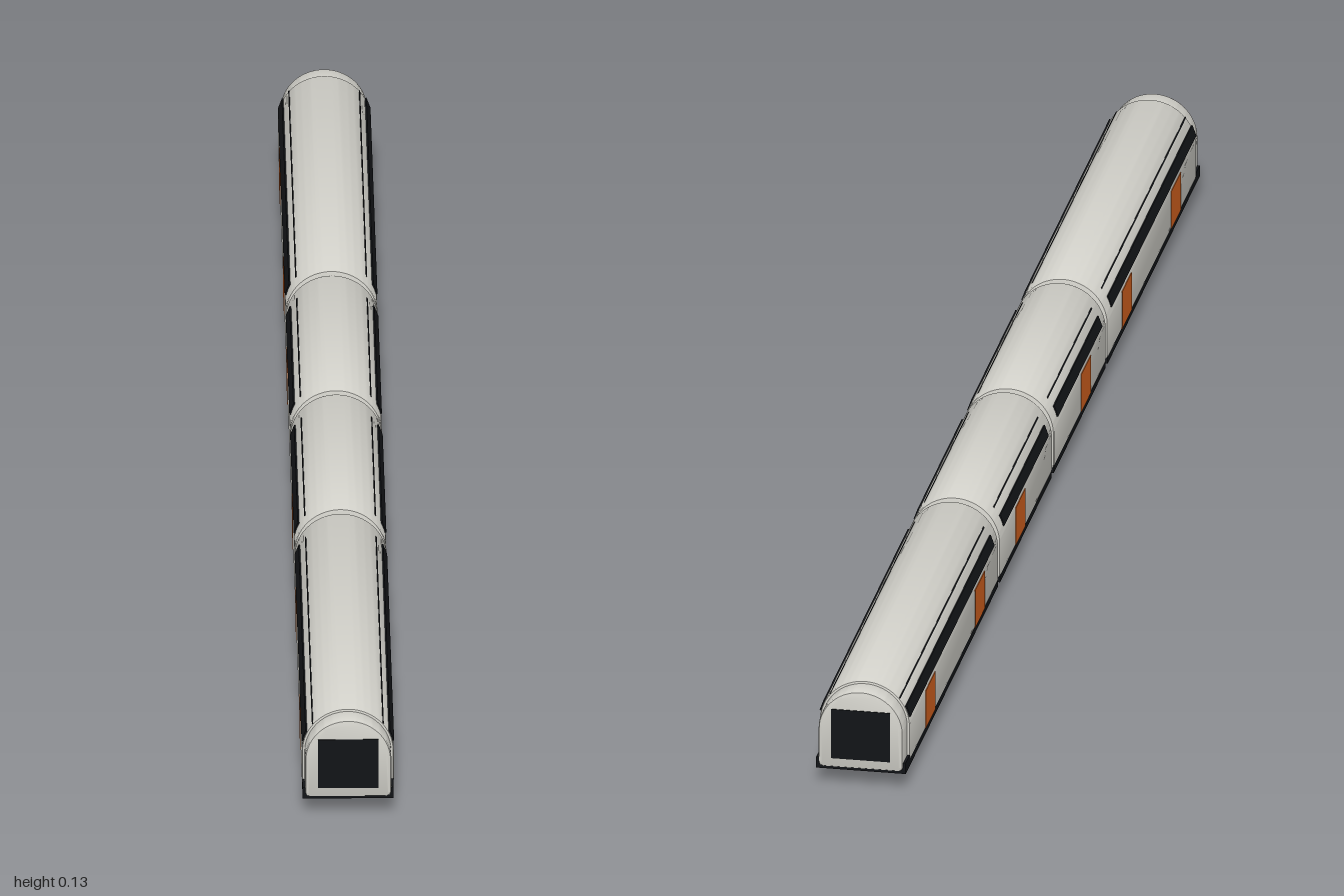
import * as THREE from 'three';
import { toCreasedNormals } from 'three/addons/utils/BufferGeometryUtils.js';

const paint = (color) => new THREE.MeshStandardMaterial({ color });
const shell = paint(0xd2d1ca);
const black = paint(0x121417);
const orange = paint(0xd8641f);
const dark = paint(0x303136);

const RADIUS = 0.058; // roof radius and half width
const SPRING = 0.075; // height where the walls meet the round roof

function add(parent, name, geometry, material, x = 0, y = 0, z = 0) {
  const mesh = new THREE.Mesh(geometry, material);
  mesh.name = name;
  mesh.position.set(x, y, z);
  parent.add(mesh);
  return mesh;
}

function box(parent, name, material, w, y0, y1, z0, z1) {
  const geometry = new THREE.BoxGeometry(w, y1 - y0, Math.abs(z1 - z0));
  return add(parent, name, geometry, material, 0, (y0 + y1) / 2, (z0 + z1) / 2);
}

// Arched section with small rounded lower corners, extruded along z
function archGeometry(radius, bottom, length, bevel) {
  const c = 0.008;
  const s = new THREE.Shape();
  s.moveTo(-radius + c, bottom);
  s.lineTo(radius - c, bottom);
  s.quadraticCurveTo(radius, bottom, radius, bottom + c);
  s.lineTo(radius, SPRING);
  s.absarc(0, SPRING, radius, 0, Math.PI, false);
  s.lineTo(-radius, bottom + c);
  s.quadraticCurveTo(-radius, bottom, -radius + c, bottom);
  const geometry = new THREE.ExtrudeGeometry(s, {
    depth: length - 2 * bevel, curveSegments: 28,
    bevelEnabled: true, bevelSize: bevel, bevelOffset: -bevel,
    bevelThickness: bevel, bevelSegments: 2,
  });
  geometry.translate(0, 0, bevel);
  return toCreasedNormals(geometry, 0.6);
}

// Long strip lying on the curved roof at a given angle, on both sides
function roofStrips(car, name, degrees, height, proud, z0, z1) {
  const a = THREE.MathUtils.degToRad(degrees);
  const thickness = 0.004;
  const r = RADIUS + proud - thickness / 2;
  for (const side of [1, -1]) {
    const strip = add(car, name, new THREE.BoxGeometry(thickness, height, z1 - z0), black,
      side * r * Math.cos(a), SPRING + r * Math.sin(a), (z0 + z1) / 2);
    strip.rotation.z = side * a;
  }
}

// A car facing +z; bogies and doors are lists of centre z
function makeCar({ name, z0, z1, strip, bogies, doors, cab }) {
  const car = new THREE.Group();
  car.name = name;
  add(car, 'body', archGeometry(RADIUS, 0.026, z1 - z0, 0.003), shell, 0, 0, z0);
  box(car, 'underframe', black, 0.115, 0.021, 0.036, z0 + 0.002, cab ? 0.996 : z1 - 0.002);
  roofStrips(car, 'windowBand', 20, 0.015, 0.0015, strip[0], strip[1]);
  roofStrips(car, 'roofGutter', 40, 0.002, 0.0005, strip[0], strip[1]);
  for (const z of bogies) box(car, 'bogie', dark, 0.076, 0, 0.023, z - 0.043, z + 0.043);
  for (const z of doors) box(car, 'door', orange, 0.1172, 0.03, 0.081, z - 0.032, z + 0.032);
  if (cab) {
    // Slightly smaller cab end with a square windscreen
    add(car, 'cabNose', archGeometry(0.0545, 0.024, 0.048, 0.004), shell, 0, 0, 0.951);
    box(car, 'windscreen', black, 0.076, 0.037, 0.104, 0.985, 1);
  }
  return car;
}

export function createModel() {
  const train = new THREE.Group();
  train.name = 'train';
  // The rear half mirrors the front half
  for (const half of ['front', 'rear']) {
    const group = new THREE.Group();
    group.name = half + 'Half';
    group.add(makeCar({
      name: half + 'EndCar', z0: 0.37, z1: 0.97, strip: [0.398, 0.968],
      bogies: [0.868, 0.474], doors: [0.832, 0.498], cab: true,
    }));
    group.add(makeCar({
      name: half + 'MiddleCar', z0: 0.005, z1: 0.359, strip: [0.032, 0.332],
      bogies: [0.194], doors: [0.222], cab: false,
    }));
    if (half === 'rear') group.rotation.y = Math.PI;
    train.add(group);
  }
  return train;
}
